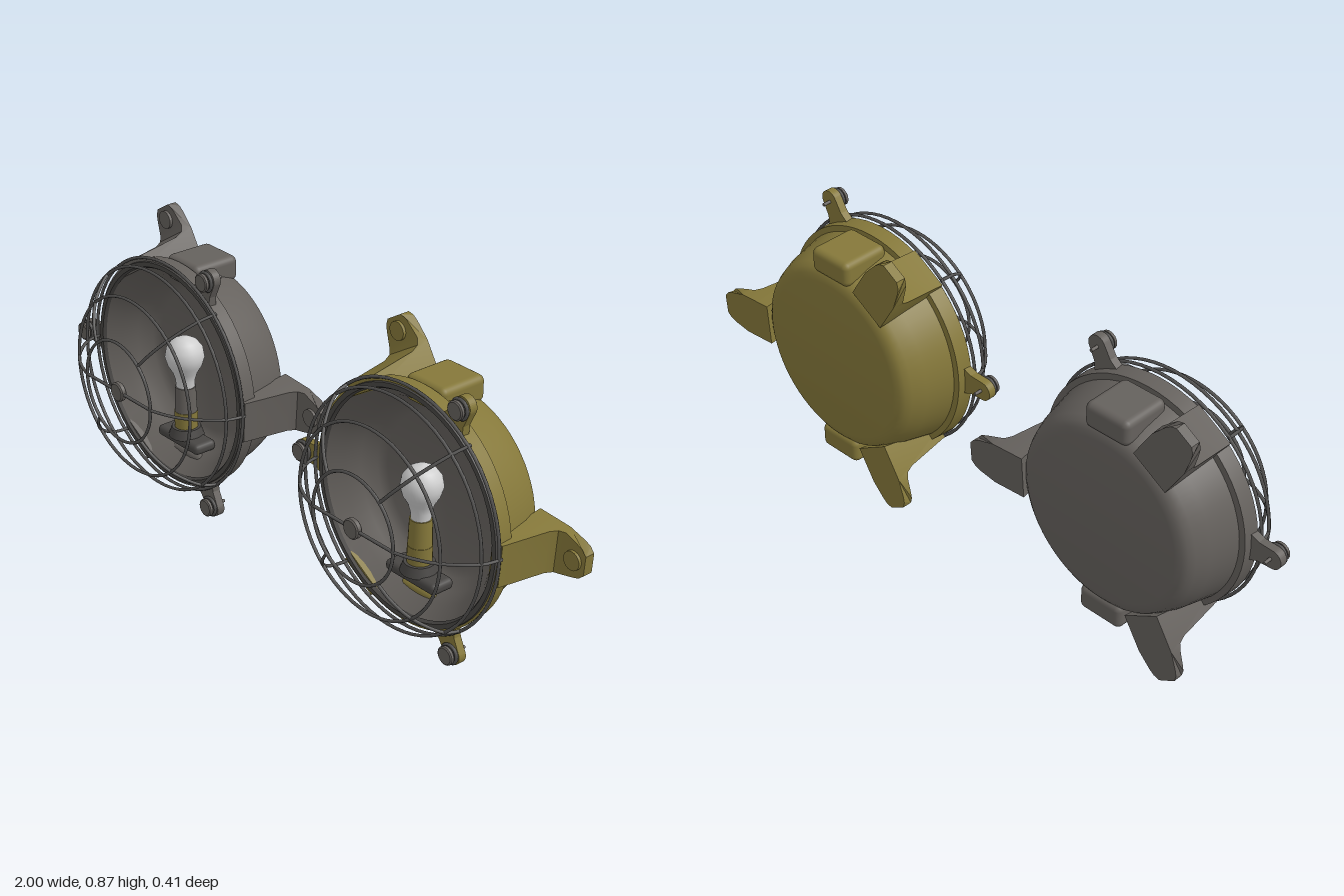
import * as THREE from 'three';
import { toCreasedNormals } from 'three/addons/utils/BufferGeometryUtils.js';
import { RoundedBoxGeometry } from 'three/addons/geometries/RoundedBoxGeometry.js';

const mat = (name, color) => new THREE.MeshStandardMaterial({ name, color });
const rad = THREE.MathUtils.degToRad;
const v2 = (list) => list.map(([x, y]) => new THREE.Vector2(x, y));

// Profile of [radius, z] points turned around the z axis
function turned(points, segments = 64) {
  const geo = new THREE.LatheGeometry(v2(points), segments).rotateX(Math.PI / 2);
  return toCreasedNormals(geo, 0.6);
}

function add(parent, name, geo, material, x = 0, y = 0, z = 0) {
  const mesh = new THREE.Mesh(geo, material);
  mesh.name = name;
  mesh.position.set(x, y, z);
  parent.add(mesh);
  return mesh;
}

function ring(parent, name, radius, z, material, wire = 0.005) {
  return add(parent, name, new THREE.TorusGeometry(radius, wire, 6, 64), material, 0, 0, z);
}

// L-shaped wall arm: runs along the housing, then turns out into a foot
function armGeometry() {
  const shape = new THREE.Shape(v2([
    [0.325, 0.008], [0.29, -0.203], [0.40, -0.203], [0.455, -0.203], [0.475, -0.203], [0.49, -0.203],
    [0.49, -0.172], [0.475, -0.172], [0.455, -0.172], [0.415, -0.172], [0.395, -0.163], [0.384, -0.14], [0.362, 0.008],
  ]));
  const geo = new THREE.ExtrudeGeometry(shape, { depth: 1, bevelEnabled: false });
  geo.translate(0, 0, -0.5).rotateX(Math.PI / 2);
  const p = geo.attributes.position;
  for (let i = 0; i < p.count; i++) {
    const r = p.getX(i);
    const width = r > 0.48 ? 0.06 : r > 0.47 ? 0.09 : r > 0.45 ? 0.105 : 0.13;
    p.setY(i, p.getY(i) * width);
  }
  geo.computeVertexNormals();
  return toCreasedNormals(geo, 0.5);
}

// Flat lug with a rounded tip
function lugGeometry() {
  const shape = new THREE.Shape();
  shape.moveTo(0.335, -0.05);
  shape.lineTo(0.38, -0.032);
  shape.lineTo(0.425, -0.03);
  shape.absarc(0.425, 0, 0.03, -Math.PI / 2, Math.PI / 2, false);
  shape.lineTo(0.38, 0.032);
  shape.lineTo(0.335, 0.05);
  return new THREE.ExtrudeGeometry(shape, { depth: 0.025, bevelEnabled: false, curveSegments: 10 })
    .translate(0, 0, -0.015);
}

function buildLamp(name, paint, m) {
  const lamp = new THREE.Group();
  lamp.name = name;

  // Housing shell and the dish inside it
  add(lamp, 'housing', turned([
    [0, -0.205], [0.255, -0.205], [0.275, -0.2], [0.29, -0.19], [0.3, -0.172], [0.316, -0.13],
    [0.336, -0.04], [0.354, -0.038], [0.358, 0.01], [0.334, 0.01],
  ]), paint);
  add(lamp, 'reflectorDish', turned([
    [0.336, 0.01], [0.326, -0.005], [0.3, -0.035], [0.275, -0.075], [0.25, -0.115], [0.225, -0.13], [0, -0.138],
  ]), m.grey);
  add(lamp, 'bezel', turned([[0.352, 0.008], [0.35, 0.016], [0.336, 0.016], [0.33, 0.006]]), m.dark);

  // Cable entries at the top and bottom
  for (const side of [1, -1]) {
    add(lamp, side > 0 ? 'topEntry' : 'bottomEntry',
      new RoundedBoxGeometry(0.15, 0.08, 0.16, 3, 0.02), paint, 0, side * 0.315, -0.123);
  }
  add(lamp, 'glandWasher', new THREE.CylinderGeometry(0.05, 0.05, 0.004, 32), m.dark, 0, -0.358, -0.11);
  add(lamp, 'glandPlug', new THREE.CylinderGeometry(0.024, 0.018, 0.016, 24), m.grey, 0, -0.366, -0.11);
  add(lamp, 'glandCore', new THREE.CylinderGeometry(0.01, 0.01, 0.004, 16), m.brass, 0, -0.375, -0.11);

  // Three wall arms
  const arm = armGeometry();
  for (const angle of [-4, 122, 239]) {
    const group = new THREE.Group();
    group.name = 'wallArm';
    group.rotation.z = rad(angle);
    add(group, 'arm', arm, paint);
    add(group, 'footBoss', turned([[0.028, -0.175], [0.028, -0.163], [0, -0.163]], 24), paint, 0.45);
    lamp.add(group);
  }

  // Three lugs with bolts and wire loops that hold the cage
  const lug = lugGeometry();
  const bolt = turned([
    [0, -0.04], [0.005, -0.04], [0.005, 0.011], [0.022, 0.011], [0.022, 0.016], [0.015, 0.018],
    [0.015, 0.023], [0.028, 0.025], [0.028, 0.033], [0.024, 0.036], [0, 0.036],
  ], 24);
  for (const angle of [62, 180, 298]) {
    const group = new THREE.Group();
    group.name = 'cageFixing';
    group.rotation.z = rad(angle);
    add(group, 'lug', lug, paint);
    add(group, 'bolt', bolt, m.grey, 0.42);
    const loop = ring(group, 'wireLoop', 0.028, 0.016, m.wire);
    loop.position.x = 0.42;
    lamp.add(group);
  }

  // Wire cage: hoops, curved bars, crossing bar and centre button
  const cage = new THREE.Group();
  cage.name = 'cage';
  for (const [r, z] of [[0.365, 0.017], [0.35, 0.066], [0.28, 0.145], [0.16, 0.199]]) ring(cage, 'hoop', r, z, m.wire);
  const curve = new THREE.CatmullRomCurve3(
    [[0.366, 0.008], [0.35, 0.066], [0.28, 0.145], [0.215, 0.182], [0.16, 0.199]]
      .map(([r, z]) => new THREE.Vector3(r, 0, z)));
  const bar = new THREE.TubeGeometry(curve, 28, 0.005, 6);
  for (const angle of [0, 50, 130, 180, 230, 310]) add(cage, 'bar', bar, m.wire).rotation.z = rad(angle);
  add(cage, 'crossBar', new THREE.CylinderGeometry(0.005, 0.005, 0.32, 6).rotateZ(Math.PI / 2), m.wire, 0, 0, 0.199);
  add(cage, 'centreButton', turned([
    [0, 0.188], [0.026, 0.188], [0.03, 0.192], [0.03, 0.204], [0.026, 0.208], [0, 0.208],
  ], 24), m.grey);
  lamp.add(cage);

  // Bulb, socket and bracket
  const fitting = new THREE.Group();
  fitting.name = 'bulbFitting';
  fitting.position.z = -0.05;
  add(fitting, 'bracket', new RoundedBoxGeometry(0.2, 0.035, 0.08, 2, 0.015), m.dark, 0, -0.235, 0);
  add(fitting, 'bracketCollar', new THREE.CylinderGeometry(0.045, 0.055, 0.03, 24), m.dark, 0, -0.208, 0);
  add(fitting, 'socketBase', new THREE.CylinderGeometry(0.036, 0.036, 0.1, 24), m.brass, 0, -0.19, 0);
  add(fitting, 'socketTop', new THREE.CylinderGeometry(0.032, 0.035, 0.085, 24), paint, 0, -0.1, 0);
  const glass = [[0.028, -0.065], [0.03, -0.035], [0.038, -0.01], [0.053, 0.015], [0.061, 0.042],
    [0.056, 0.07], [0.04, 0.092], [0.02, 0.103], [0, 0.106]];
  add(fitting, 'bulb', new THREE.LatheGeometry(v2(glass), 32), m.glass);
  lamp.add(fitting);
  return lamp;
}

export function createModel() {
  const m = {
    grey: mat('grey metal', 0x65615d),
    brass: mat('olive brass', 0x85783a),
    dark: mat('dark metal', 0x484644),
    wire: mat('cage wire', 0x555453),
    glass: mat('bulb glass', 0xcfcfcf),
  };
  const model = new THREE.Group();
  model.name = 'bulkheadLamps';
  const greyLamp = buildLamp('greyLamp', m.grey, m);
  greyLamp.position.set(-0.545, 0.43, 0);
  const oliveLamp = buildLamp('oliveLamp', m.brass, m);
  oliveLamp.position.set(0.51, 0.43, 0);
  model.add(greyLamp, oliveLamp);
  return model;
}
